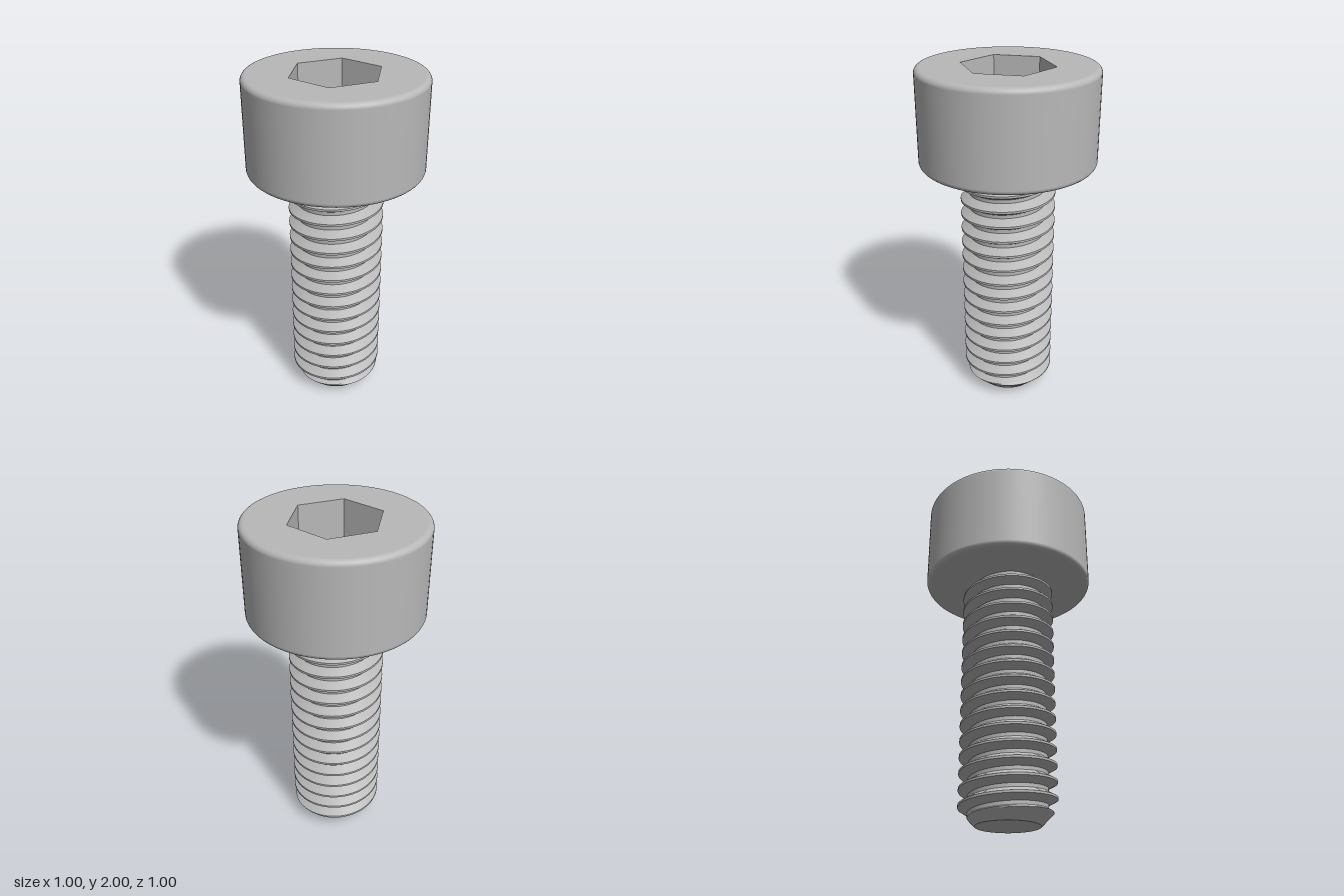
import * as THREE from 'three';
import { toCreasedNormals } from 'three/addons/utils/BufferGeometryUtils.js';

const HEAD_BASE = 1.4545, TOP = 2, HEAD_R = 0.5, FILLET = 0.03;
const PITCH = HEAD_BASE / 16, CREST_R = 0.2727, ROOT_R = 0.2215, TIP_R = 0.18;
const HEX_R = 0.2624, HEX_DEPTH = 0.27;

// One pitch of the thread: [fraction of pitch, radius], crest centred on 0
const PROFILE = [[-0.07, CREST_R], [0.07, CREST_R], [0.385, ROOT_R], [0.615, ROOT_R]];

// Helical thread surface, trimmed by the tip chamfer and the head underside
function threadGeometry(segments = 72, sub = 4) {
  const row = [];
  for (let turn = -2; turn < 18; turn++) {
    PROFILE.forEach(([f, r], k) => {
      const [f2, r2] = k < 3 ? PROFILE[k + 1] : [0.93, CREST_R];
      for (let s = 0; s < sub; s++) {
        const t = s / sub;
        row.push([turn + f + (f2 - f) * t, r + (r2 - r) * t]);
      }
    });
  }
  const point = (i, j) => {
    const a = (i / segments) * Math.PI * 2;
    const y = THREE.MathUtils.clamp(PITCH * (row[j][0] + i / segments - 0.25), 0, HEAD_BASE);
    const r = Math.min(row[j][1], TIP_R + y);
    return new THREE.Vector3(r * Math.sin(a), y, r * Math.cos(a));
  };
  const positions = [];
  const triangle = new THREE.Triangle();
  const add = (a, b, c) => {
    const flat = a.y === b.y && b.y === c.y;
    if (flat || triangle.set(a, b, c).getArea() < 1e-9) return;
    for (const p of [a, b, c]) positions.push(p.x, p.y, p.z);
  };
  for (let j = 0; j < row.length - 1; j++) {
    for (let i = 0; i < segments; i++) {
      const a = point(i, j), b = point(i + 1, j), c = point(i, j + 1), d = point(i + 1, j + 1);
      add(a, b, c);
      add(b, d, c);
    }
  }
  const geometry = new THREE.BufferGeometry();
  geometry.setAttribute('position', new THREE.Float32BufferAttribute(positions, 3));
  return toCreasedNormals(geometry, 0.5);
}

// Underside, rounded edges and side wall of the head
function headGeometry() {
  const inner = HEAD_R - FILLET;
  const points = [new THREE.Vector2(0, HEAD_BASE), new THREE.Vector2(inner - 0.004, HEAD_BASE)];
  const arc = (cy, from) => {
    for (let i = 0; i <= 8; i++) {
      const a = from + (i / 8) * Math.PI / 2;
      points.push(new THREE.Vector2(inner + FILLET * Math.cos(a), cy + FILLET * Math.sin(a)));
    }
  };
  arc(HEAD_BASE + FILLET, -Math.PI / 2);
  arc(TOP - FILLET, 0);
  return new THREE.LatheGeometry(points, 96);
}

// Flat top ring with a hexagonal opening
function topGeometry() {
  const shape = new THREE.Shape().absarc(0, 0, HEAD_R - FILLET, 0, Math.PI * 2);
  const hole = [];
  for (let i = 0; i < 6; i++) {
    const a = Math.PI / 2 - (i * Math.PI) / 3;
    hole.push(new THREE.Vector2(HEX_R * Math.cos(a), HEX_R * Math.sin(a)));
  }
  shape.holes.push(new THREE.Path(hole));
  return new THREE.ShapeGeometry(shape, 48).rotateX(-Math.PI / 2).translate(0, TOP, 0);
}

// Socket walls, mirrored so the faces look inward
function socketGeometry() {
  const geometry = new THREE.CylinderGeometry(HEX_R, HEX_R, HEX_DEPTH, 6, 1, true)
    .scale(-1, 1, 1).translate(0, TOP - HEX_DEPTH / 2, 0).toNonIndexed();
  geometry.computeVertexNormals();
  return geometry;
}

export function createModel() {
  const group = new THREE.Group();
  group.name = 'socketHeadScrew';
  const steel = new THREE.MeshStandardMaterial({ color: 0xb8b8b8 });
  steel.name = 'steelGrey';
  const add = (name, geometry) => {
    const mesh = new THREE.Mesh(geometry, steel);
    mesh.name = name;
    group.add(mesh);
  };

  add('head', headGeometry());
  add('headTop', topGeometry());
  add('socketWalls', socketGeometry());
  add('socketFloor', new THREE.CircleGeometry(HEX_R, 6, Math.PI / 2)
    .rotateX(-Math.PI / 2).translate(0, TOP - HEX_DEPTH, 0));
  add('threadedShank', threadGeometry());
  add('tip', new THREE.CircleGeometry(TIP_R, 72).rotateX(Math.PI / 2));
  return group;
}
